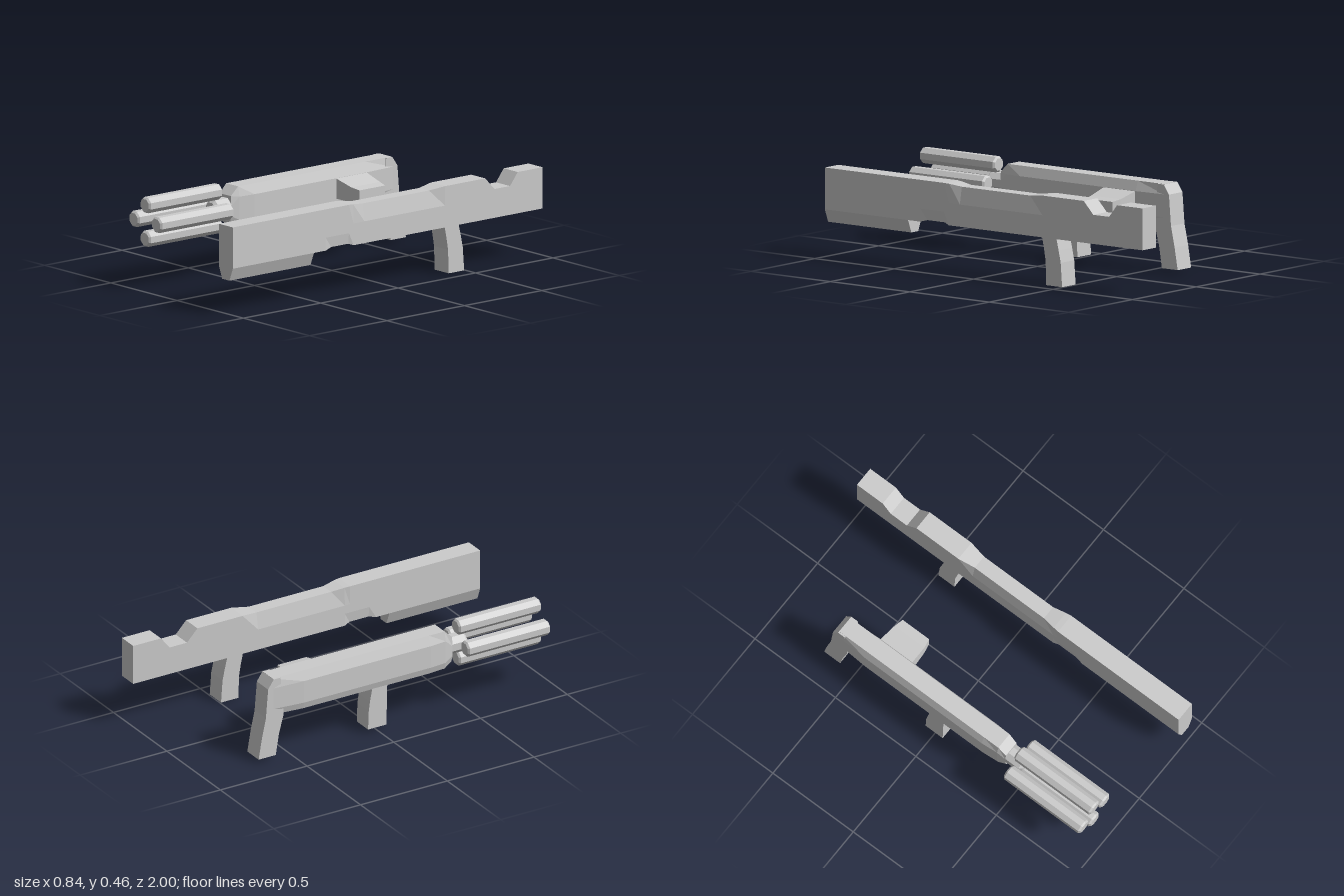
import * as THREE from 'three';

const material = new THREE.MeshStandardMaterial({ color: 0xcccccc, flatShading: true });

function part(parent, name, geometry) {
  const mesh = new THREE.Mesh(geometry, material);
  mesh.name = name;
  parent.add(mesh);
  return mesh;
}

// Skin a series of rings (counter-clockwise seen from the end they advance to), with both ends capped
function loft(rings) {
  const pos = [];
  const n = rings[0].length;
  const tri = (a, b, c) => pos.push(...a, ...b, ...c);
  for (let i = 0; i < rings.length - 1; i++) {
    for (let j = 0; j < n; j++) {
      const k = (j + 1) % n;
      const a = rings[i][j], b = rings[i][k], c = rings[i + 1][k], d = rings[i + 1][j];
      tri(a, b, c);
      tri(a, c, d);
    }
  }
  const first = rings[0], last = rings[rings.length - 1];
  for (let j = 1; j < n - 1; j++) {
    tri(first[0], first[j + 1], first[j]);
    tri(last[0], last[j], last[j + 1]);
  }
  const g = new THREE.BufferGeometry();
  g.setAttribute('position', new THREE.Float32BufferAttribute(pos, 3));
  g.computeVertexNormals();
  return g;
}

// Mirrored cross-section at depth z from [halfWidth, y] pairs, bottom to top
function section(z, half) {
  const right = half.map(([w, y]) => [w, y, z]);
  const left = half.map(([w, y]) => [-w, y, z]).reverse();
  return [...right, ...left];
}

// Side profile in (z, y), given a width across x
function slab(points, width) {
  const shape = new THREE.Shape(points.map(([z, y]) => new THREE.Vector2(z, y)));
  const g = new THREE.ExtrudeGeometry(shape, { depth: width, bevelEnabled: false });
  g.rotateY(-Math.PI / 2);
  g.translate(width / 2, 0, 0);
  return g;
}

// Eight-sided rod along z with bevelled ends
function rod(radius, z0, z1, bevel) {
  const r = radius - bevel;
  const g = new THREE.LatheGeometry([
    new THREE.Vector2(0, z0), new THREE.Vector2(r, z0),
    new THREE.Vector2(radius, z0 + bevel), new THREE.Vector2(radius, z1 - bevel),
    new THREE.Vector2(r, z1), new THREE.Vector2(0, z1),
  ], 8, Math.PI / 8);
  return g.rotateX(Math.PI / 2);
}

function createLongRifle() {
  const rifle = new THREE.Group();
  rifle.name = 'longRifle';
  const W = 0.053;

  // Body stations: z, bottom y, bottom half-width, top y, top half-width
  const stations = [
    [-1, 0.235, W, 0.443, W], [-0.84, 0.235, W, 0.443, W],
    [-0.79, 0.235, W, 0.38, W], [-0.69, 0.235, W, 0.38, W],
    [-0.63, 0.235, W, 0.443, W], [-0.37, 0.235, W, 0.443, W],
    [-0.28, 0.235, W, 0.432, 0.037], [0.15, 0.235, W, 0.432, 0.037],
    [0.22, 0.235, W, 0.441, 0.049], [0.25, 0.246, 0.047, 0.443, W],
    [0.36, 0.246, 0.047, 0.443, W], [0.4, 0.235, W, 0.443, W],
    [1, 0.235, W, 0.443, W],
  ];
  part(rifle, 'rifleBody', loft(stations.map(([z, yb, wb, yt, wt]) =>
    section(z, [[wb, yb], [W, 0.3], [W, 0.345], [wt, yt]]))));

  // Tapered keel under the fore end
  part(rifle, 'foreEndKeel', loft([0.476, 1].map((z) =>
    section(z, [[0.027, 0.17], [W, 0.235]]))));

  part(rifle, 'rifleGrip', slab([
    [-0.365, 0.25], [-0.455, 0.25], [-0.472, 0.18], [-0.485, 0.12],
    [-0.494, 0], [-0.394, 0], [-0.39, 0.12], [-0.38, 0.18],
  ], 2 * W));
  rifle.position.x = 0.368;
  return rifle;
}

function createMultiBarrelGun() {
  const gun = new THREE.Group();
  gun.name = 'multiBarrelGun';

  // Receiver stations: z, waist half-width, bottom y, top y, top half-width
  const stations = [
    [-0.6, 0.053, 0.24, 0.438, 0.045], [-0.43, 0.0625, 0.235, 0.438, 0.045],
    [0.3, 0.0625, 0.235, 0.438, 0.045], [0.39, 0.055, 0.235, 0.438, 0.045],
    [0.435, 0.046, 0.26, 0.395, 0.042],
  ];
  part(gun, 'receiver', loft(stations.map(([z, w, yb, yt, wt]) =>
    section(z, [[w - 0.01, yb], [w, yb + 0.035], [w, yt - 0.05], [wt, yt]]))));

  // Rear end bends down into the grip
  part(gun, 'rearGrip', slab([
    [-0.56, 0.437], [-0.6, 0.437], [-0.632, 0.39], [-0.645, 0.235], [-0.668, 0.13],
    [-0.687, 0.02], [-0.588, 0.02], [-0.57, 0.13], [-0.542, 0.235],
  ], 0.106));
  part(gun, 'frontGrip', slab([
    [0.055, 0.25], [-0.03, 0.25], [-0.045, 0.17], [-0.052, 0.12],
    [-0.056, 0.02], [0.05, 0.02], [0.052, 0.12],
  ], 0.106));

  // Side magazine: x, top y, rear z, front z
  const box = [[0.05, 0.39, -0.427, -0.228], [0.167, 0.36, -0.42, -0.235], [0.219, 0.352, -0.41, -0.245]];
  part(gun, 'sideMagazine', loft(box.map(([x, y, z0, z1]) =>
    [[x, 0.285, z1], [x, 0.285, z0], [x, y, z0], [x, y, z1]])));

  // Hub and ring of four barrels
  part(gun, 'barrelHub', rod(0.05, 0.4, 0.53, 0.014)).position.y = 0.335;
  for (let i = 0; i < 4; i++) {
    const a = i * Math.PI / 2;
    part(gun, 'barrel', rod(0.0415, 0.48, 0.955, 0.009))
      .position.set(0.085 * Math.cos(a), 0.335 + 0.085 * Math.sin(a), 0);
  }
  gun.position.x = -0.297;
  return gun;
}

export function createModel() {
  const model = new THREE.Group();
  model.name = 'twoGuns';
  model.add(createLongRifle(), createMultiBarrelGun());
  return model;
}
